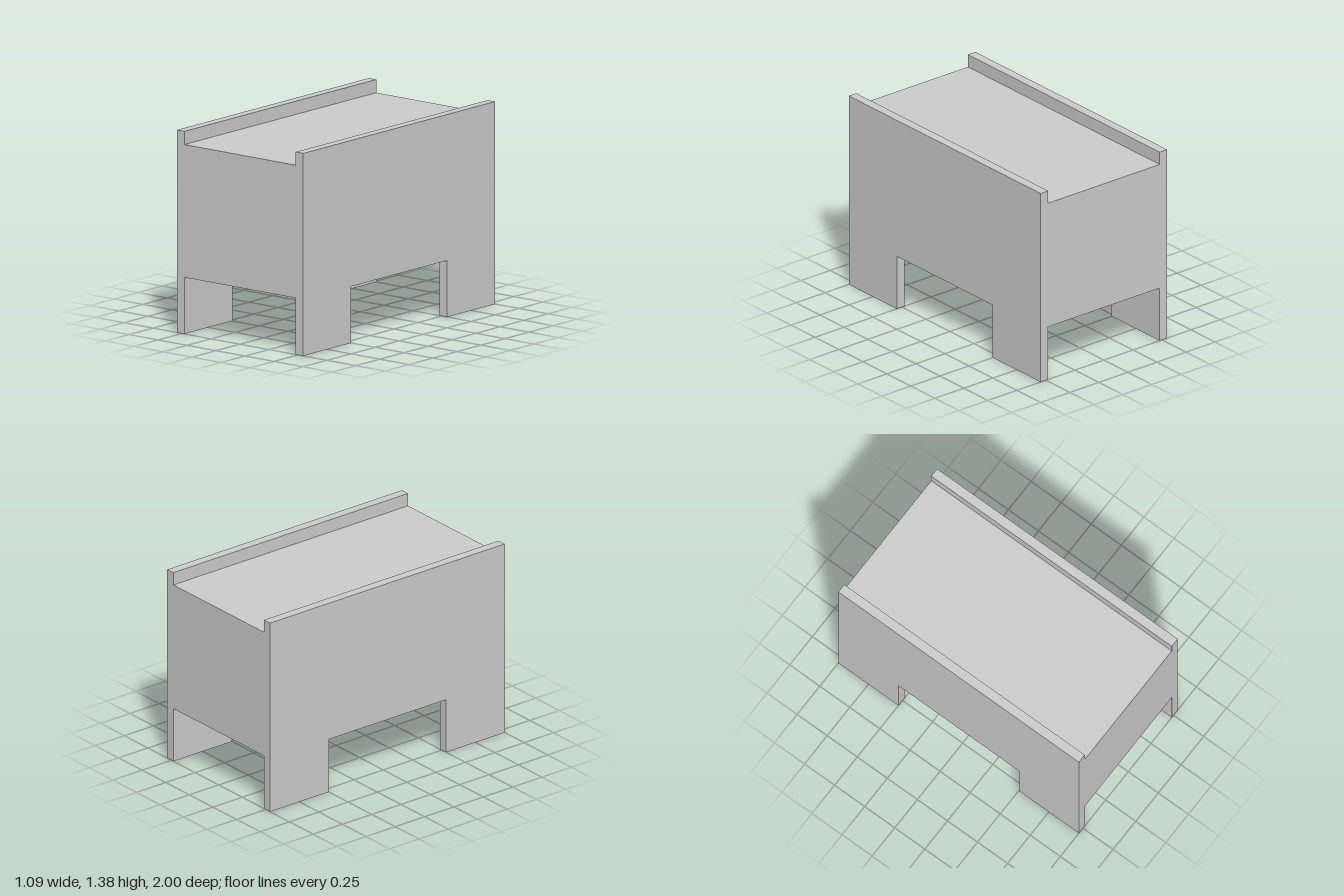
import * as THREE from 'three';

const LENGTH = 2, HEIGHT = 1.38, OUTER = 0.545, INNER = 0.48;
const BODY_BOTTOM = 0.385, BODY_TOP = 1.29, NOTCH = 0.5;

export function createModel() {
  const group = new THREE.Group();
  const material = new THREE.MeshStandardMaterial({ color: 0xcccccc });

  // Side panel outline: a tall board with a notch that leaves two feet
  const half = LENGTH / 2;
  const outline = new THREE.Shape([
    [-half, 0], [-NOTCH, 0], [-NOTCH, BODY_BOTTOM], [NOTCH, BODY_BOTTOM],
    [NOTCH, 0], [half, 0], [half, HEIGHT], [-half, HEIGHT],
  ].map(([z, y]) => new THREE.Vector2(z, y)));
  const thickness = OUTER - INNER;
  const panel = new THREE.ExtrudeGeometry(outline, { depth: thickness, bevelEnabled: false });
  panel.translate(0, 0, -thickness / 2).rotateY(-Math.PI / 2);

  for (const [name, side] of [['leftSidePanel', 1], ['rightSidePanel', -1]]) {
    const mesh = new THREE.Mesh(panel, material);
    mesh.name = name;
    mesh.position.x = side * (INNER + OUTER) / 2;
    group.add(mesh);
  }

  // Closed box body between the panels, flush with their ends
  const body = new THREE.Mesh(
    new THREE.BoxGeometry(INNER * 2, BODY_TOP - BODY_BOTTOM, LENGTH), material);
  body.name = 'body';
  body.position.y = (BODY_TOP + BODY_BOTTOM) / 2;
  group.add(body);

  return group;
}
